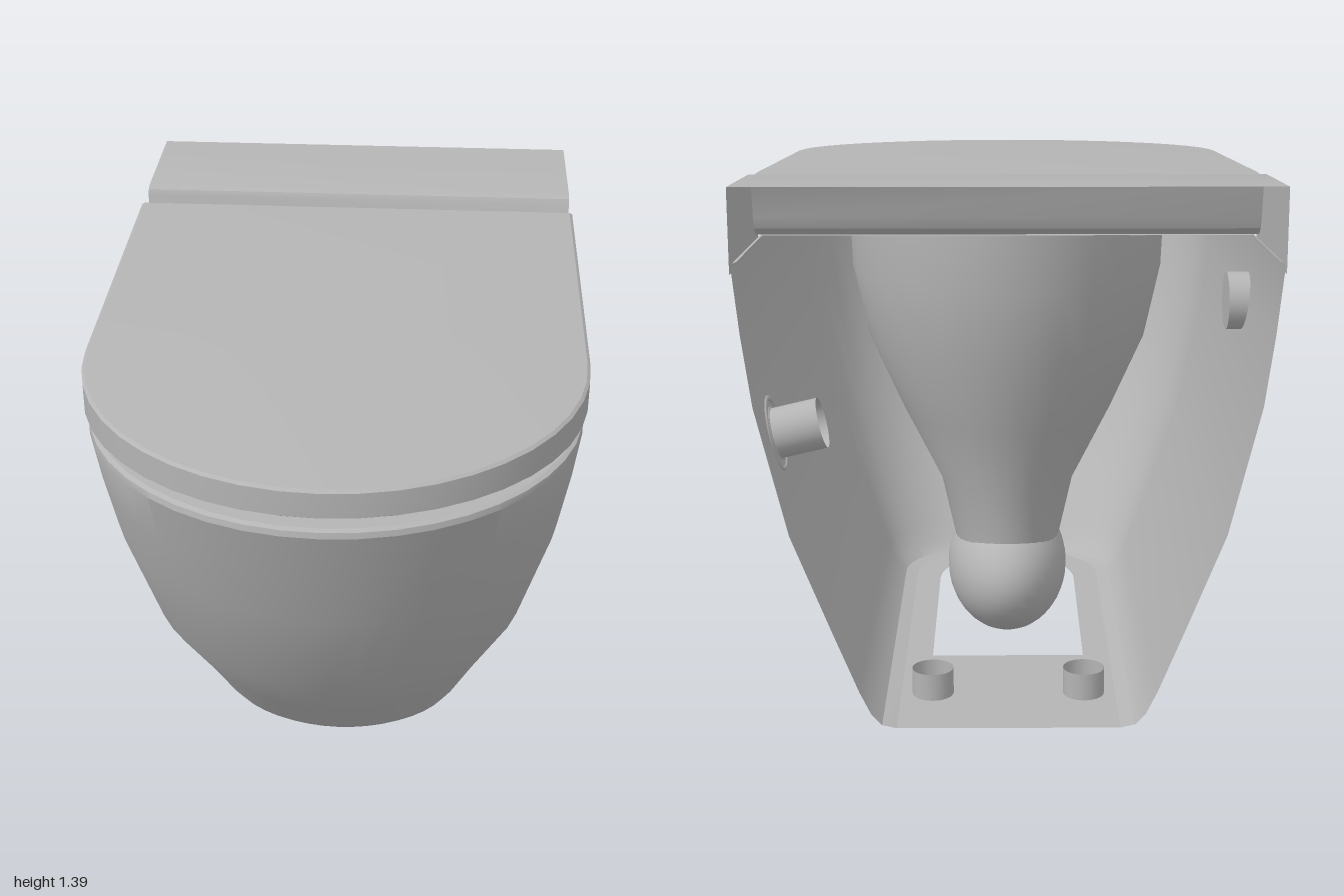
import * as THREE from 'three';
import { toCreasedNormals } from 'three/addons/utils/BufferGeometryUtils.js';

const CX = 0.018; // shell centre line
const ceramic = new THREE.MeshStandardMaterial({ color: 0xb4b4b4, side: THREE.DoubleSide });
ceramic.name = 'grey ceramic';

// Skin through rings of [x, y, z] points that all have the same count
function loft(rings, crease = 0.45) {
  const n = rings[0].length, idx = [];
  for (let r = 0; r < rings.length - 1; r++)
    for (let i = 0; i < n - 1; i++) {
      const a = r * n + i, b = a + 1, c = a + n, d = c + 1;
      idx.push(a, c, b, b, c, d);
    }
  const g = new THREE.BufferGeometry();
  g.setAttribute('position', new THREE.Float32BufferAttribute(rings.flat(2), 3));
  g.setIndex(idx);
  return toCreasedNormals(g, crease);
}

// U outline: straight sides from back to start, then half an ellipse to front
function uOutline(hw, back, start, front, seg = 22) {
  const pts = [[hw, back]];
  for (let i = 0; i <= seg; i++) {
    const a = (i / seg) * Math.PI;
    pts.push([hw * Math.cos(a), start + (front - start) * Math.sin(a)]);
  }
  pts.push([-hw, back]);
  return pts;
}

const uRing = (y, hw, back, start, front) =>
  uOutline(hw, back, start, front).map(([x, z]) => [x, y, z]);

function ellipseRing(y, cz, rx, rz, seg = 36) {
  return Array.from({ length: seg + 1 }, (_, i) => {
    const a = (i / seg) * Math.PI * 2;
    return [rx * Math.cos(a), y, cz + rz * Math.sin(a)];
  });
}

// Horizontal plate from an x/z outline, with optional holes
function plate(outline, holes, y) {
  const vec = (p) => p.map(([x, z]) => new THREE.Vector2(x, -z));
  const s = new THREE.Shape(vec(outline));
  holes.forEach((h) => s.holes.push(new THREE.Path(vec(h))));
  const g = new THREE.ShapeGeometry(s);
  g.rotateX(-Math.PI / 2);
  g.translate(0, y, 0);
  return g;
}

export function createModel() {
  const model = new THREE.Group();
  model.name = 'wallHungToilet';
  const body = new THREE.Group();
  body.name = 'body';
  body.position.x = CX;
  model.add(body);
  const add = (name, geo, x = 0, y = 0, z = 0) => {
    const m = new THREE.Mesh(geo, ceramic);
    m.name = name;
    m.position.set(x, y, z);
    body.add(m);
    return m;
  };

  // Hollow shell, open at the back: [y, half width, curve start, front]
  const levels = [
    [0.1, 0.27, 0.1, 0.31], [0.107, 0.305, 0.1, 0.33], [0.13, 0.33, 0.11, 0.355],
    [0.18, 0.358, 0.12, 0.4], [0.33, 0.42, 0.15, 0.53], [0.57, 0.515, 0.23, 0.74],
    [0.88, 0.59, 0.31, 0.875], [1.05, 0.613, 0.35, 0.94], [1.2, 0.628, 0.38, 0.995],
    [1.215, 0.626, 0.38, 0.992], [1.22, 0.615, 0.38, 0.98],
  ];
  // The underside drops slightly toward the back
  const drop = (y, z) => y - Math.max(0, (0.2 - y) / 0.1) * 0.015 * (0.33 - z) / 1.33;
  add('shell', loft(levels.map(([y, hw, s, f]) =>
    uRing(y, hw, -1, s, f).map(([x, py, z]) => [x, drop(py, z), z]))));

  // Underside with the long opening for the trap
  const base = plate(uOutline(0.27, -1, 0.1, 0.31),
    [[...uOutline(0.2, -0.55, 0.05, 0.26)]], 0.1);
  const bp = base.attributes.position;
  for (let i = 0; i < bp.count; i++) bp.setY(i, drop(bp.getY(i), bp.getZ(i)));
  base.computeVertexNormals();
  add('underside', base);

  // Rim with the bowl opening
  const mouth = ellipseRing(1.22, 0.2, 0.46, 0.66);
  add('rim', plate(uOutline(0.615, -0.57, 0.38, 0.98),
    [mouth.slice(0, -1).map(([x, , z]) => [x, z])], 1.22));

  // Bowl narrowing to the neck
  add('bowl', loft([
    mouth,
    ellipseRing(1.05, 0.16, 0.45, 0.62),
    ellipseRing(0.85, 0.1, 0.4, 0.52),
    ellipseRing(0.65, 0.03, 0.3, 0.39),
    ellipseRing(0.45, -0.03, 0.19, 0.26),
    ellipseRing(0.28, -0.05, 0.15, 0.22),
  ], 0.8));

  // Rounded trap that dips below the underside
  const trap = new THREE.SphereGeometry(1, 36, 20);
  trap.scale(0.172, 0.19, 0.29);
  add('trap', trap, 0, 0.19, -0.05);

  // Raised rear housing: step, ramp and top, closed by two cheeks
  const step = [[-0.52, 1.22], [-0.565, 1.222], [-0.59, 1.24], [-0.602, 1.27],
    [-0.618, 1.36], [-0.626, 1.375], [-0.645, 1.381], [-1, 1.389]];
  const HW = 0.632;
  add('housingTop', loft(step.map(([z, y]) => [[-HW, y, z], [HW, y, z]])));
  const cheek = new THREE.Shape(
    [...step, [-1, 1.19], [-0.52, 1.19]].map(([z, y]) => new THREE.Vector2(-z, y)));
  for (const side of [-1, 1]) {
    const g = new THREE.ShapeGeometry(cheek);
    g.rotateY(Math.PI / 2);
    add('housingCheek', g, side * HW);
  }

  // Seat pad that leaves a shadow gap under the lid
  const pad = new THREE.CylinderGeometry(1, 1, 0.035, 40);
  pad.scale(0.4, 1, 0.5);
  add('seatPad', pad, 0, 1.236, 0.28);

  // Lid: slanted rear edge and a top that peaks gently
  const topY = (z) => 1.328 + (1 - z) * 0.03;
  const lidRing = (inset, back, y) =>
    uOutline(0.636 - inset, back, 0.38, 0.998 - inset).map(([x, z]) => [x, y(z), z]);
  const closed = (r) => [...r, r[0]];
  const flat = (y) => () => y;
  const under = lidRing(0.012, -0.485, flat(1.25));
  const peak = under.map(() => [0, 1.386, 0.18]);
  const low = under.map(() => [0, 1.25, 0.18]);
  add('lid', loft([
    low, under, lidRing(0, -0.49, flat(1.258)),
    lidRing(0, -0.527, (z) => topY(z) - 0.006),
    lidRing(0.008, -0.522, topY), peak,
  ].map(closed), 0.3));

  // Hinge bar and feet
  const bar = new THREE.CylinderGeometry(0.035, 0.035, 0.98, 16);
  bar.rotateZ(Math.PI / 2);
  add('hingeBar', bar, 0, 1.305, -0.495);
  for (const side of [-1, 1])
    add('hingeFoot', new THREE.BoxGeometry(0.1, 0.06, 0.1), side * 0.36, 1.245, -0.485);

  // Bolt sleeves standing on the underside
  for (const side of [-1, 1])
    add('boltSleeve', new THREE.CylinderGeometry(0.052, 0.052, 0.07, 20, 1, true),
      side * 0.19, 0.12, -0.79);

  // Inlet port on the left wall, leaning with the wall
  const port = new THREE.Group();
  port.name = 'inletPort';
  port.position.set(0.567, 0.77, -0.81);
  port.rotation.z = -0.23;
  const part = (name, geo, x) => {
    geo.rotateY(Math.PI / 2);
    const m = new THREE.Mesh(geo, ceramic);
    m.name = name;
    m.position.x = x;
    port.add(m);
  };
  part('portRim', new THREE.TorusGeometry(0.088, 0.008, 8, 32), 0);
  part('portInnerRim', new THREE.TorusGeometry(0.062, 0.006, 8, 32), 0);
  const tube = new THREE.CylinderGeometry(0.062, 0.062, 0.12, 28, 1, true);
  tube.rotateX(Math.PI / 2);
  part('portTube', tube, -0.06);
  body.add(port);

  // Side knob on the right wall
  const knob = new THREE.CylinderGeometry(0.074, 0.074, 0.11, 28);
  knob.rotateZ(Math.PI / 2);
  add('sideKnob', knob, -0.618, 1.04, -0.49);

  return model;
}
